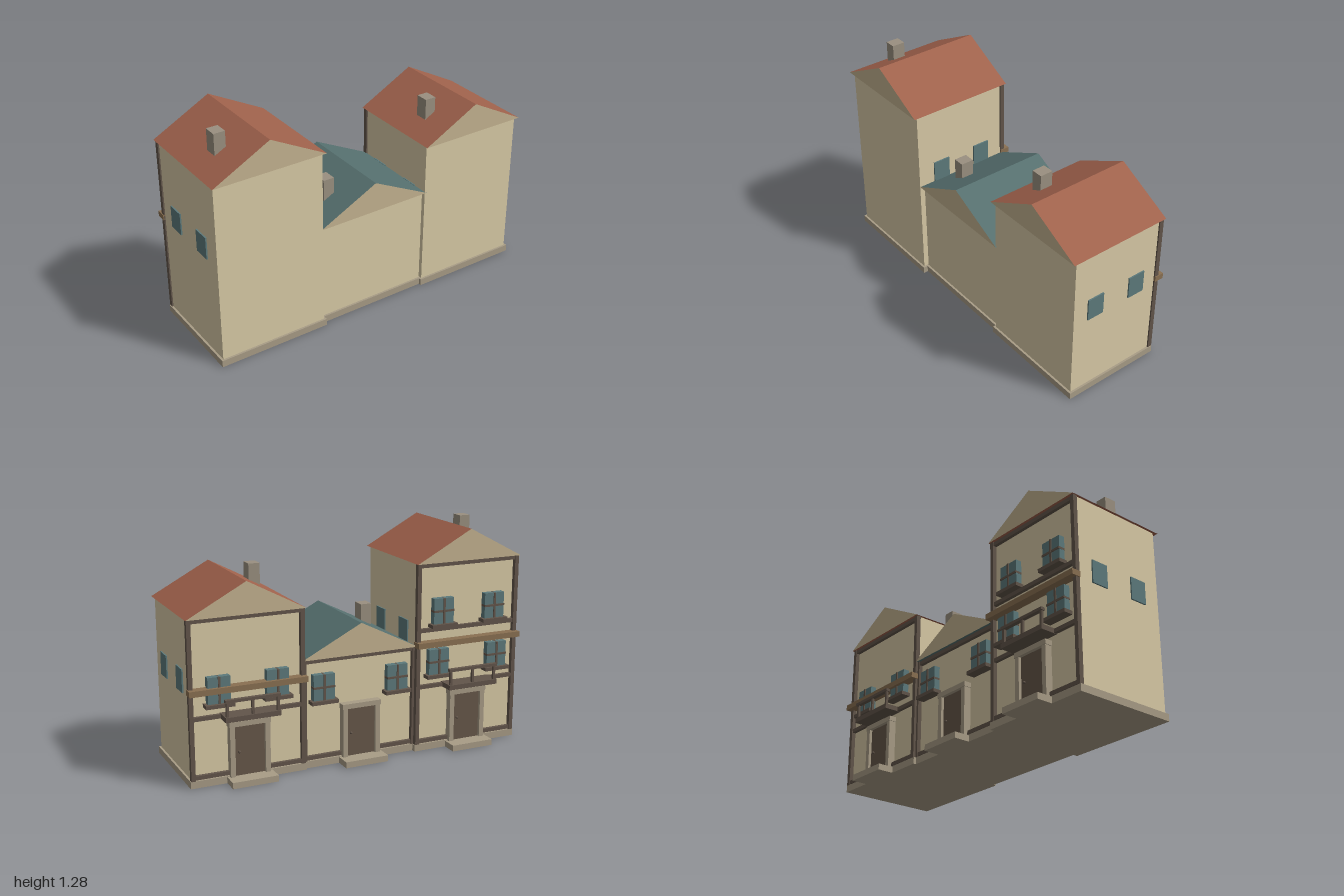
import * as THREE from 'three';

const mat = (color) => new THREE.MeshStandardMaterial({ color, flatShading: true });
const M = {
  wall: mat(0xd8caa6), gable: mat(0xc4b390), stone: mat(0xa89c86), red: mat(0xa0624c), teal: mat(0x56706f),
  timber: mat(0x62554a), beam: mat(0x8a7052), door: mat(0x665749), glass: mat(0x5d7a7c), chimney: mat(0x9a9080),
};

// Box given by its limits on each axis
function box(parent, name, material, [x0, x1], [y0, y1], [z0, z1]) {
  const mesh = new THREE.Mesh(new THREE.BoxGeometry(x1 - x0, y1 - y0, z1 - z0), material);
  mesh.position.set((x0 + x1) / 2, (y0 + y1) / 2, (z0 + z1) / 2);
  mesh.name = name;
  parent.add(mesh);
  return mesh;
}

// Solid gable roof: plaster ends, coloured slopes
function addRoof(house, half, eave, z0, z1, material) {
  const s = new THREE.Shape();
  s.moveTo(-half, eave);
  s.lineTo(half, eave);
  s.lineTo(0, eave + 0.177);
  s.closePath();
  const geo = new THREE.ExtrudeGeometry(s, { depth: z1 - z0, bevelEnabled: false });
  const roof = new THREE.Mesh(geo, [M.gable, material]);
  roof.position.z = z0;
  roof.name = 'roof';
  house.add(roof);
}

// Window on the -z wall: pane, frame, glazing bars and sill
function addWindow(house, x, y, zw) {
  const g = new THREE.Group();
  g.name = 'window';
  g.position.set(x, y, zw);
  house.add(g);
  box(g, 'pane', M.glass, [-0.06, 0.06], [-0.07, 0.07], [-0.03, 0]);
  for (const s of [-1, 1]) {
    box(g, 'casement', M.glass, [s * 0.033 - 0.03, s * 0.033 + 0.03], [-0.073, 0.073], [-0.036, 0]);
  }
  box(g, 'mullion', M.timber, [-0.006, 0.006], [-0.073, 0.073], [-0.042, 0]);
  box(g, 'glazingBar', M.timber, [-0.064, 0.064], [-0.006, 0.006], [-0.041, 0]);
  box(g, 'sill', M.timber, [-0.08, 0.08], [-0.093, -0.073], [-0.055, 0]);
}

// Door with stone surround and step
function addDoor(house, zw) {
  const g = new THREE.Group();
  g.name = 'doorway';
  g.position.z = zw;
  house.add(g);
  box(g, 'door', M.door, [-0.088, 0.088], [0.035, 0.32], [-0.025, 0]);
  for (const s of [-1, 1]) {
    box(g, 'doorJamb', M.stone, [s * 0.1 - 0.014, s * 0.1 + 0.014], [0.035, 0.32], [-0.042, 0]);
  }
  box(g, 'doorLintel', M.stone, [-0.118, 0.118], [0.317, 0.345], [-0.045, 0]);
  const knob = new THREE.Mesh(new THREE.SphereGeometry(0.008, 8, 6), M.timber);
  knob.position.set(0.06, 0.17, -0.03);
  knob.name = 'doorKnob';
  g.add(knob);
  box(g, 'doorStep', M.stone, [-0.13, 0.13], [0, 0.035], [-0.115, 0]);
}

// Balcony slab, posts and rails
function addBalcony(house, zw) {
  const g = new THREE.Group();
  g.name = 'balcony';
  g.position.z = zw;
  house.add(g);
  box(g, 'balconyFloor', M.timber, [-0.155, 0.155], [0.367, 0.395], [-0.102, 0]);
  for (const x of [-0.142, 0, 0.142]) {
    box(g, 'railPost', M.timber, [x - 0.007, x + 0.007], [0.39, 0.48], [-0.096, -0.082]);
  }
  box(g, 'handRail', M.timber, [-0.155, 0.155], [0.474, 0.49], [-0.102, -0.078]);
}

function addHouse(model, o) {
  const house = new THREE.Group();
  house.name = o.name;
  house.position.x = o.x;
  model.add(house);
  const { half, eave, zf, zb } = o;

  box(house, 'base', M.stone, [-half - 0.012, half + 0.012], [0, 0.04], [zb - 0.022, zf + 0.012]);
  box(house, 'walls', M.wall, [-half, half], [0.04, eave], [zb, zf]);
  addRoof(house, half + 0.014, eave, zb - 0.033, zf + 0.023, o.roof);
  box(house, 'chimney', M.chimney, [o.chimneyX - 0.033, o.chimneyX + 0.033], [eave, eave + 0.188], [0.092, 0.168]);

  // Timber frame on the -z wall
  for (const s of [-1, 1]) {
    const x = s * (half - 0.004);
    box(house, 'cornerPost', M.timber, [x - 0.012, x + 0.012], [0.04, eave], [zb - 0.024, zb + 0.002]);
  }
  for (const y of o.rails) {
    box(house, 'crossTimber', M.timber, [-half, half], [y - 0.011, y + 0.011], [zb - 0.02, zb]);
  }

  // Openings
  addDoor(house, zb);
  for (const [dx, y] of o.windows) for (const s of [-1, 1]) addWindow(house, s * dx, y, zb);
  if (o.beamY) {
    addBalcony(house, zb);
    box(house, 'longBeam', M.beam, [-half - 0.013, half + 0.013], [o.beamY - 0.016, o.beamY + 0.016], [zb - 0.054, zb + 0.002]);
  }
  if (o.sideY) {
    for (const s of [-1, 1]) for (const z of [0.183, -0.097]) {
      const x = s * half;
      box(house, 'sideWindow', M.glass, [x - 0.008, x + 0.008], [o.sideY - 0.065, o.sideY + 0.065], [z - 0.052, z + 0.052]);
    }
  }
}

export function createModel() {
  const model = new THREE.Group();
  model.name = 'terracedHouses';
  addHouse(model, {
    name: 'tallHouse', x: -0.666, half: 0.32, eave: 1.093, zf: 0.335, zb: -0.245, roof: M.red, chimneyX: -0.178,
    rails: [0.055, 0.38, 0.71, 1.08], windows: [[0.19, 0.525], [0.165, 0.818]], beamY: 0.632, sideY: 0.687,
  });
  addHouse(model, {
    name: 'lowHouse', x: 0, half: 0.34, eave: 0.62, zf: 0.308, zb: -0.22, roof: M.teal, chimneyX: -0.197,
    rails: [0.055, 0.608], windows: [[0.225, 0.46]],
  });
  addHouse(model, {
    name: 'middleHeightHouse', x: 0.666, half: 0.32, eave: 0.918, zf: 0.325, zb: -0.235, roof: M.red, chimneyX: -0.178,
    rails: [0.055, 0.38, 0.906], windows: [[0.165, 0.53]], beamY: 0.53, sideY: 0.565,
  });
  return model;
}
